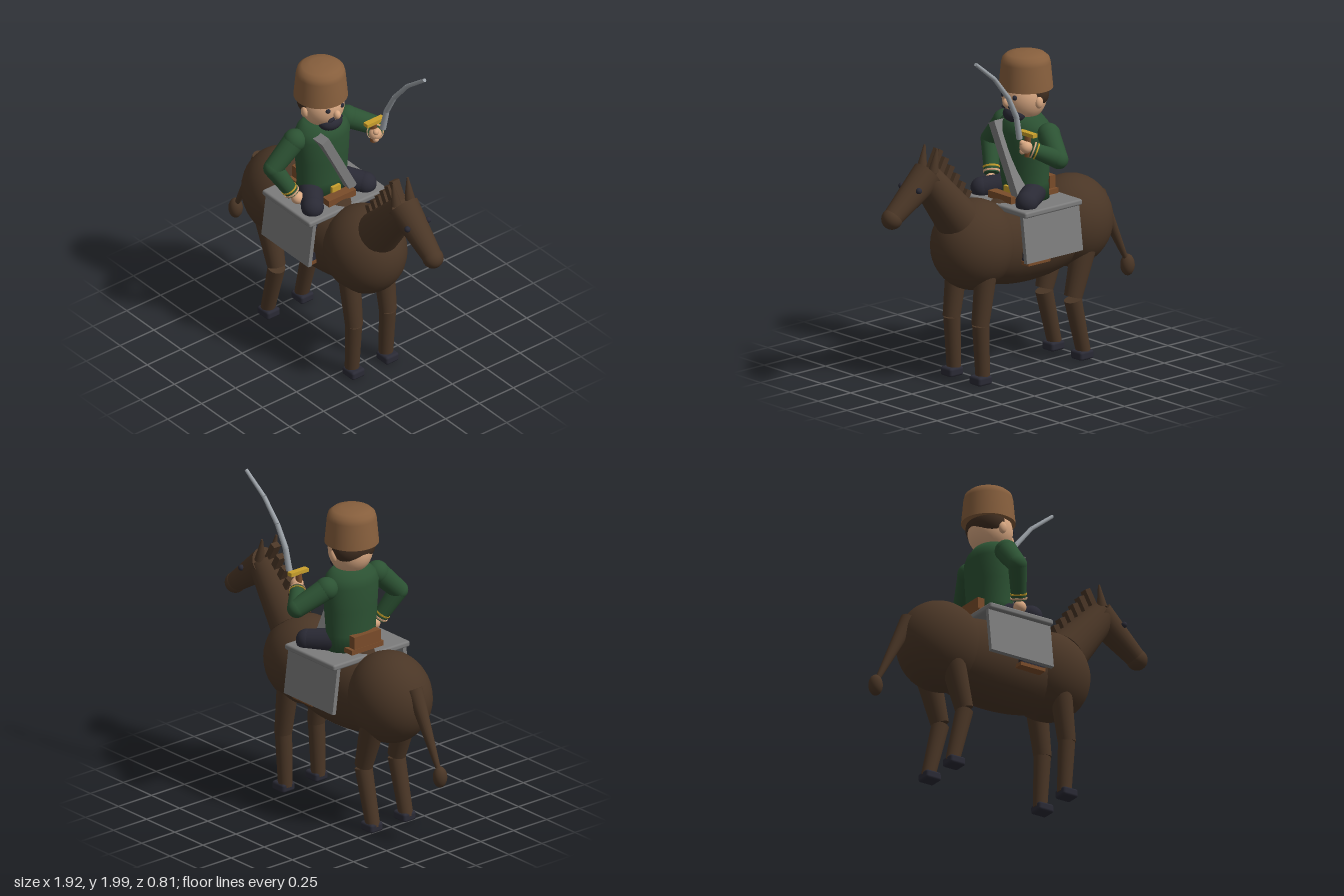
import * as THREE from 'three';
import { RoundedBoxGeometry } from 'three/addons/geometries/RoundedBoxGeometry.js';

const mat = (name, color) => {
  const m = new THREE.MeshStandardMaterial({ color });
  m.name = name;
  return m;
};

export function createModel() {
  const horse = mat('horse brown', 0x4a3626), hair = mat('hair brown', 0x3f2d20);
  const navy = mat('dark navy', 0x2a2a35), grey = mat('cloth grey', 0x7c7c7c);
  const coat = mat('coat green', 0x2c5233), skin = mat('skin', 0xd9a882);
  const fur = mat('fur hat brown', 0x875f3d), leather = mat('leather', 0x7a4c2a);
  const gold = mat('gold', 0xc9a02c), steel = mat('steel', 0x9aa0a6);

  const model = new THREE.Group();
  model.name = 'horseAndRider';
  model.position.z = 0.01;
  const V = (p) => new THREE.Vector3(...p);

  const add = (name, geo, material, pos = [0, 0, 0], rot = [0, 0, 0]) => {
    const m = new THREE.Mesh(geo, material);
    m.name = name;
    m.position.set(...pos);
    m.rotation.set(...rot);
    model.add(m);
    return m;
  };
  const ball = (name, material, pos, rx, ry = rx, rz = rx) => {
    const m = add(name, new THREE.SphereGeometry(1, 32, 20), material, pos);
    m.scale.set(rx, ry, rz);
    return m;
  };
  const box = (name, material, pos, size, rot) =>
    add(name, new THREE.BoxGeometry(...size), material, pos, rot);
  // Tapered cylinder from a to b
  const limb = (name, material, a, b, ra, rb, sides = 20) => {
    const dir = V(b).sub(V(a));
    const m = add(name, new THREE.CylinderGeometry(rb, ra, dir.length(), sides), material);
    m.position.copy(V(a).add(V(b)).multiplyScalar(0.5));
    m.quaternion.setFromUnitVectors(new THREE.Vector3(0, 1, 0), dir.normalize());
    return m;
  };

  // Horse body
  ball('barrel', horse, [-0.1, 0.78, 0], 0.56, 0.265, 0.225);
  ball('rump', horse, [-0.475, 0.805, 0], 0.262, 0.273, 0.238);
  ball('chest', horse, [0.268, 0.805, 0], 0.26, 0.268, 0.238);

  // Neck, head, ears and mane
  limb('neck', horse, [0.4, 0.99, 0], [0.65, 1.29, 0], 0.13, 0.09, 24);
  limb('horseHead', horse, [0.62, 1.29, 0], [0.895, 1.08, 0], 0.095, 0.058, 24);
  ball('muzzle', horse, [0.895, 1.078, 0], 0.062);
  for (let i = 0; i < 6; i++) {
    const t = i / 5;
    box('maneTuft', horse, [0.345 + 0.22 * t, 1.09 + 0.285 * t, 0], [0.038, 0.12, 0.05], [0, 0, 0.5]);
  }

  // Tail
  limb('tail', horse, [-0.69, 0.92, 0], [-0.91, 0.48, 0], 0.05, 0.014);
  ball('tailTuft', horse, [-0.92, 0.445, 0], 0.042, 0.064, 0.042);

  // Saddle
  add('saddleTop', new RoundedBoxGeometry(0.44, 0.036, 0.58, 2, 0.012), grey, [-0.098, 1.005, 0]);
  box('pommel', leather, [0.035, 1.04, 0], [0.06, 0.05, 0.2]);
  box('cantle', leather, [-0.255, 1.085, 0], [0.045, 0.1, 0.2]);
  box('cantleBase', leather, [-0.245, 1.045, 0], [0.07, 0.03, 0.24]);

  // Mirrored parts of the horse, saddle and rider
  for (const s of [1, -1]) {
    const z = 0.125 * s;
    limb('foreLegUpper', horse, [0.28, 0.68, z], [0.325, 0.355, z], 0.066, 0.052);
    limb('foreLegLower', horse, [0.322, 0.355, z], [0.306, 0.03, z], 0.05, 0.042);
    add('foreHoof', new RoundedBoxGeometry(0.104, 0.054, 0.095, 2, 0.015), navy, [0.322, 0.027, z]);
    limb('hindLegUpper', horse, [-0.475, 0.68, z], [-0.39, 0.385, z], 0.076, 0.054);
    limb('hindLegLower', horse, [-0.388, 0.37, z], [-0.473, 0.025, z], 0.052, 0.042);
    add('hindHoof', new RoundedBoxGeometry(0.104, 0.054, 0.095, 2, 0.015), navy, [-0.46, 0.027, z]);

    limb('horseEar', horse, [0.62, 1.32, 0.05 * s], [0.595, 1.455, 0.054 * s], 0.032, 0.006, 12);
    ball('horseEye', navy, [0.755, 1.235, 0.076 * s], 0.018);

    box('saddleFlap', grey, [-0.098, 0.86, 0.266 * s], [0.432, 0.29, 0.026], [-0.13 * s, 0, 0]);
    box('stirrup', leather, [-0.005, 0.7, 0.235 * s], [0.17, 0.022, 0.06]);

    limb('thigh', navy, [-0.12, 1.065, 0.09 * s], [0.03, 1.05, 0.195 * s], 0.075, 0.065);
    ball('knee', navy, [0.03, 1.05, 0.195 * s], 0.066);
    limb('shin', navy, [0.03, 1.04, 0.19 * s], [-0.01, 0.75, 0.215 * s], 0.05, 0.04);
    box('boot', navy, [0.0, 0.735, 0.235 * s], [0.15, 0.05, 0.06]);

    ball('riderEye', navy, [-0.008, 1.638, 0.05 * s], 0.015);
    ball('riderEar', skin, [-0.125, 1.605, 0.128 * s], 0.026, 0.036, 0.02);
    const tache = ball('moustache', navy, [0.0, 1.576, 0.025 * s], 0.014, 0.011, 0.03);
    tache.rotation.x = 0.35 * s;
  }

  // Rider's torso: oval coat narrowing at the shoulders
  const coatProfile = [[0, 0], [0.165, 0], [0.16, 0.1], [0.172, 0.25], [0.18, 0.4], [0.16, 0.45], [0.115, 0.495], [0, 0.495]];
  const torso = add('torso', new THREE.LatheGeometry(coatProfile.map((p) => new THREE.Vector2(...p)), 32), coat, [-0.128, 1.02, 0]);
  torso.scale.x = 0.74;
  box('sash', grey, [-0.025, 1.265, 0], [0.125, 0.46, 0.055], [0.47, 0, 0]);
  box('buckle', gold, [0.0, 1.075, 0], [0.02, 0.05, 0.06]);

  // Rider's head
  ball('head', skin, [-0.125, 1.62, 0], 0.133, 0.145, 0.13);
  ball('hair', hair, [-0.155, 1.645, 0], 0.105, 0.11, 0.14);
  ball('beard', navy, [-0.05, 1.525, 0], 0.062, 0.05, 0.076);
  ball('nose', skin, [0.012, 1.603, 0], 0.025, 0.028, 0.022);

  // Tall fur hat
  const hatProfile = [[0, 1.67], [0.158, 1.67], [0.158, 1.67], [0.144, 1.82], [0.136, 1.85], [0.11, 1.872], [0.06, 1.884], [0, 1.886]];
  add('furHat', new THREE.LatheGeometry(hatProfile.map((p) => new THREE.Vector2(...p)), 36), fur, [-0.137, 0, 0]);

  // Arms: one hand on the hip, the other raising the sabre
  const arm = (side, shoulder, elbow, wrist, hand) => {
    ball(side + 'Shoulder', coat, shoulder, 0.068);
    limb(side + 'UpperArm', coat, shoulder, elbow, 0.066, 0.056);
    ball(side + 'Elbow', coat, elbow, 0.056);
    limb(side + 'Forearm', coat, elbow, wrist, 0.056, 0.043);
    for (const [t, m] of [[0.8, gold], [0.92, skin]]) {
      const a = V(elbow).lerp(V(wrist), t).toArray();
      const b = V(elbow).lerp(V(wrist), t + 0.05).toArray();
      limb(side + 'CuffBand', m, a, b, 0.05, 0.048);
    }
    ball(side + 'Hand', skin, hand, 0.038);
  };
  arm('right', [-0.14, 1.425, 0.19], [-0.16, 1.28, 0.335], [-0.09, 1.105, 0.245], [-0.07, 1.075, 0.225]);
  arm('left', [-0.14, 1.425, -0.195], [-0.07, 1.325, -0.36], [0.045, 1.385, -0.255], [0.072, 1.4, -0.235]);
  for (let i = 0; i < 3; i++) ball('finger', skin, [0.09, 1.375 + i * 0.025, -0.225], 0.018);

  // Sabre
  limb('sabreGrip', leather, [0.055, 1.34, -0.235], [0.058, 1.47, -0.235], 0.02, 0.02, 12);
  box('sabreGuard', gold, [0.06, 1.478, -0.238], [0.038, 0.022, 0.13]);
  const blade = [[0.13, 1.465, -0.245], [0.158, 1.6, -0.25], [0.225, 1.73, -0.255], [0.335, 1.865, -0.26], [0.487, 1.986, -0.267]];
  for (let i = 0; i < 4; i++) {
    limb('sabreBlade', steel, blade[i], blade[i + 1], 0.019 - i * 0.002, 0.017 - i * 0.002, 10);
  }
  return model;
}
